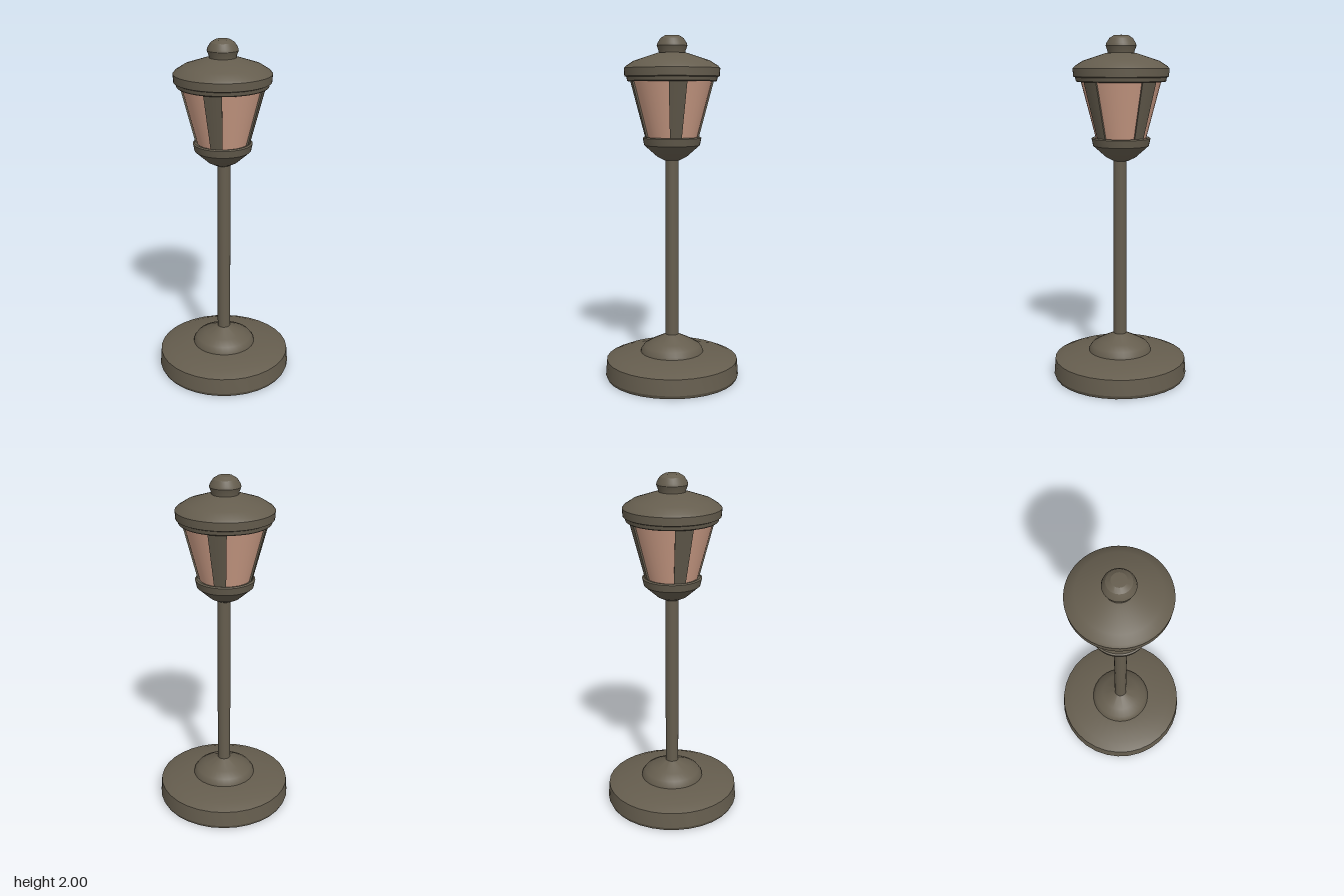
import * as THREE from 'three';
import { toCreasedNormals } from 'three/addons/utils/BufferGeometryUtils.js';

const metal = new THREE.MeshStandardMaterial({ color: 0x655d4e });
const glassMat = new THREE.MeshStandardMaterial({ color: 0xcf9f88 });

// Turned part from [radius, height] points listed bottom to top.
function turned(name, profile, segments, material = metal) {
  const points = profile.map(([r, y]) => new THREE.Vector2(r, y));
  const geometry = toCreasedNormals(new THREE.LatheGeometry(points, segments), 0.45);
  const mesh = new THREE.Mesh(geometry, material);
  mesh.name = name;
  return mesh;
}

// Flaring lantern wall: radius at a given height.
const BOTTOM = 1.41, TOP = 1.75;
const wallRadius = (y) => THREE.MathUtils.mapLinear(y, BOTTOM, TOP, 0.141, 0.23);

// Frame bar: a box bent around the lantern axis and leaned along its wall.
function frameBar(angle, width) {
  const geometry = new THREE.BoxGeometry(1, 1, 1, 4, 1, 1);
  const p = geometry.attributes.position;
  for (let i = 0; i < p.count; i++) {
    const a = angle + p.getX(i) * width;
    const y = THREE.MathUtils.lerp(BOTTOM, TOP, p.getY(i) + 0.5);
    const r = wallRadius(y) + (p.getZ(i) > 0 ? 0.01 : -0.01);
    p.setXYZ(i, r * Math.sin(a), y, r * Math.cos(a));
  }
  const mesh = new THREE.Mesh(toCreasedNormals(geometry, 0.45), metal);
  mesh.name = 'frameBar';
  return mesh;
}

export function createModel() {
  const lamp = new THREE.Group();
  lamp.name = 'streetLamp';

  // Foot and pole
  lamp.add(turned('base', [
    [0, 0], [0.385, 0], [0.394, 0.02], [0.387, 0.112], [0.33, 0.137], [0.18, 0.155], [0, 0.155],
  ], 32));
  lamp.add(turned('baseDome', [
    [0.186, 0.15], [0.182, 0.168], [0.165, 0.192], [0.12, 0.218], [0.045, 0.255], [0.034, 0.262], [0, 0.262],
  ], 32));
  lamp.add(turned('pole', [[0.038, 0.24], [0.038, 1.31]], 24));

  // Lantern head, set very slightly off the pole axis
  const head = new THREE.Group();
  head.name = 'lanternHead';
  head.position.set(-0.005, 0, -0.005);
  lamp.add(head);

  head.add(turned('cup', [
    [0, 1.288], [0.045, 1.292], [0.085, 1.312], [0.153, 1.372], [0.16, 1.378],
    [0.169, 1.42], [0.16, 1.426], [0.135, 1.42], [0, 1.42],
  ], 40));
  head.add(turned('glass', [[wallRadius(BOTTOM), BOTTOM], [wallRadius(TOP), TOP]], 40, glassMat));
  for (let i = 0; i < 4; i++) {
    head.add(frameBar(THREE.MathUtils.degToRad(-33 + i * 90), THREE.MathUtils.degToRad(25)));
  }
  head.add(turned('lid', [
    [0, 1.745], [0.25, 1.74], [0.256, 1.745], [0.26, 1.765], [0.271, 1.77], [0.274, 1.815],
    [0.262, 1.828], [0.218, 1.856], [0.085, 1.9], [0, 1.905],
  ], 48));
  head.add(turned('finial', [
    [0.074, 1.89], [0.076, 1.91], [0.087, 1.94], [0.083, 1.955], [0.066, 1.982], [0.04, 1.998], [0, 2],
  ], 32));
  return lamp;
}
